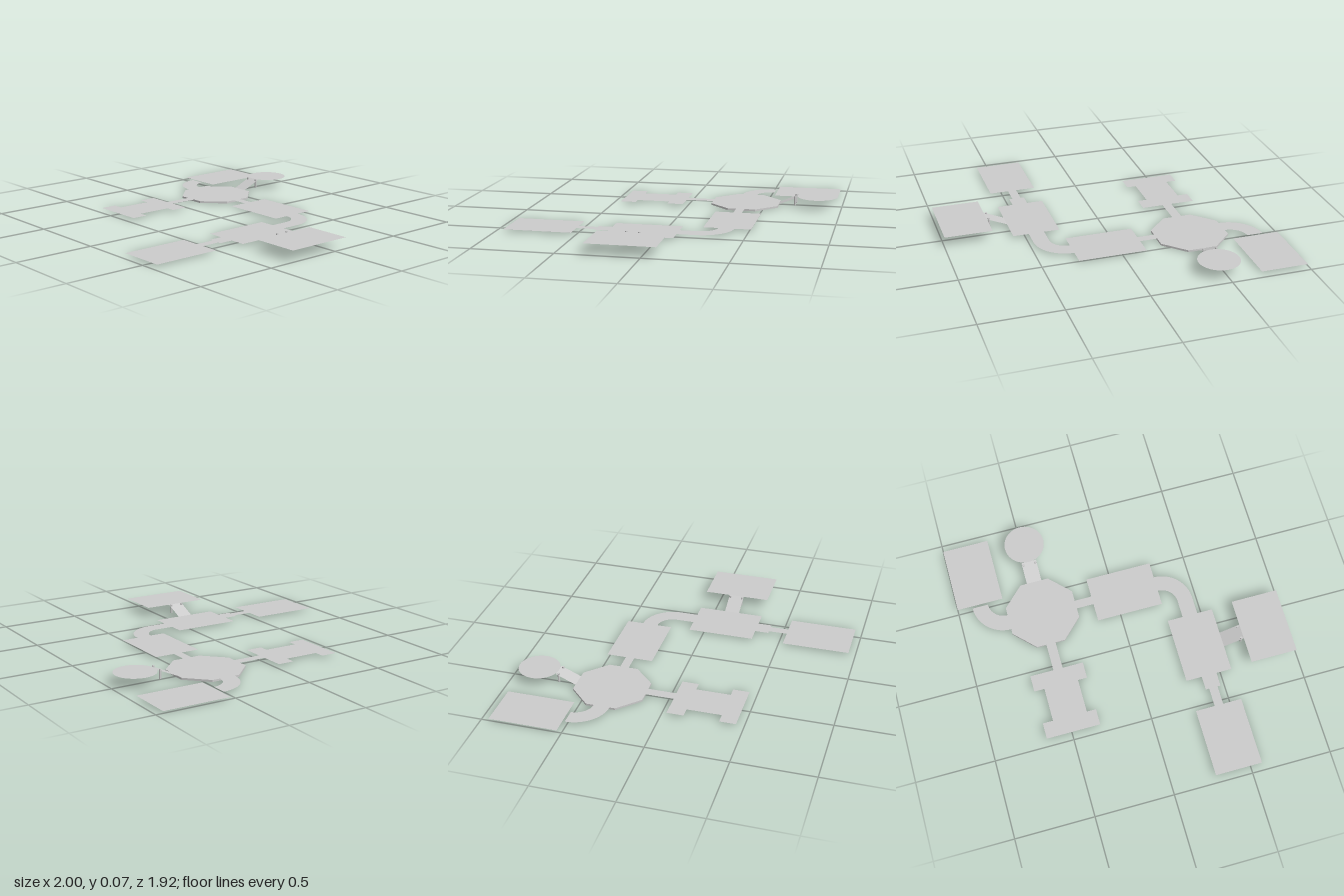
import * as THREE from 'three';

const FLOOR = 0.012; // height of the lower floors
const RAISED = 0.067; // height of the raised platforms

export function createModel() {
  const model = new THREE.Group();
  const material = new THREE.MeshStandardMaterial({
    color: 0xcccccc, side: THREE.DoubleSide, flatShading: true,
  });

  function add(name, geometry) {
    const mesh = new THREE.Mesh(geometry, material);
    mesh.name = name;
    model.add(mesh);
    return mesh;
  }

  // Flat sheet from a plan outline drawn in (x, -z)
  function sheet(name, shape, y = FLOOR) {
    const geometry = new THREE.ShapeGeometry(shape, 16);
    geometry.rotateX(-Math.PI / 2);
    geometry.translate(0, y, 0);
    return add(name, geometry);
  }

  function outline(points) {
    return new THREE.Shape(points.map(([x, z]) => new THREE.Vector2(x, -z)));
  }

  function rect(name, x0, x1, z0, z1, y) {
    return sheet(name, outline([[x0, z1], [x1, z1], [x1, z0], [x0, z0]]), y);
  }

  // Quarter-ring corridor around a plan centre
  function bend(name, x, z, inner, outer, start) {
    const shape = new THREE.Shape();
    const end = start + Math.PI / 2;
    shape.absarc(x, -z, outer, start, end, false);
    shape.absarc(x, -z, inner, end, start, true);
    return sheet(name, shape);
  }

  // Rooms
  rect('backRightRoom', -1, -0.705, -0.955, -0.53);
  rect('middleRoom', -0.15, 0.275, -0.513, -0.218);
  rect('leftRoom', 0.278, 0.573, -0.095, 0.325);
  rect('frontLeftRoom', 0.278, 0.573, 0.53, 0.955);
  rect('raisedRoom', 0.7, 0.997, -0.09, 0.332, RAISED);

  // Room with a narrow waist
  sheet('waistedRoom', outline([
    [-0.66, 0.452], [-0.318, 0.452], [-0.318, 0.35], [-0.377, 0.35],
    [-0.377, 0.135], [-0.318, 0.135], [-0.318, 0.03], [-0.66, 0.03],
    [-0.66, 0.135], [-0.595, 0.135], [-0.595, 0.35], [-0.66, 0.35],
  ]));

  // Thick octagonal hall
  const radius = 0.22 / Math.cos(Math.PI / 8);
  const hall = new THREE.CylinderGeometry(radius, radius, FLOOR, 8);
  hall.rotateY(Math.PI / 8);
  hall.translate(-0.48, FLOOR / 2, -0.368);
  add('octagonHall', hall);

  // Raised round platform
  const round = new THREE.CircleGeometry(0.128, 48);
  round.rotateX(-Math.PI / 2);
  round.translate(-0.48, RAISED, -0.838);
  add('roundPlatform', round);

  // Straight corridors
  rect('hallToMiddleCorridor', -0.26, -0.15, -0.39, -0.335);
  rect('hallToWaistCorridor', -0.51, -0.45, -0.148, 0.03);
  rect('wideFrontCorridor', 0.378, 0.475, 0.325, 0.412);
  rect('narrowFrontCorridor', 0.4, 0.455, 0.412, 0.53);
  rect('bendExtension', 0.377, 0.475, -0.21, -0.095);

  // Curved corridors
  bend('rightBend', -0.7, -0.515, 0.105, 0.205, Math.PI);
  bend('leftBend', 0.275, -0.21, 0.102, 0.2, 0);

  // Sloping ramp: rises along its length, supported by two posts at the top
  function ramp(name, x, z, length, width, angle, postSpread) {
    const group = new THREE.Group();
    group.name = name;
    const slope = new THREE.PlaneGeometry(length, width);
    slope.rotateX(-Math.PI / 2);
    slope.translate(length / 2, 0, 0);
    const p = slope.attributes.position;
    for (let i = 0; i < p.count; i++) {
      p.setY(i, FLOOR + (RAISED - FLOOR) * p.getX(i) / length);
    }
    slope.computeVertexNormals();
    const surface = new THREE.Mesh(slope, material);
    surface.name = 'rampSurface';
    group.add(surface);
    for (const side of [-1, 1]) {
      const height = 0.07 - FLOOR;
      const post = new THREE.Mesh(new THREE.CylinderGeometry(0.007, 0.007, height, 12), material);
      post.name = 'rampPost';
      post.position.set(length - 0.015, FLOOR + height / 2, side * postSpread);
      group.add(post);
    }
    group.position.set(x, 0, z);
    group.rotation.y = angle;
    model.add(group);
  }
  ramp('leftRamp', 0.573, 0.12, 0.127, 0.097, 0, 0.039);
  ramp('backRamp', -0.48, -0.588, 0.125, 0.097, Math.PI / 2, 0.039);

  return model;
}
